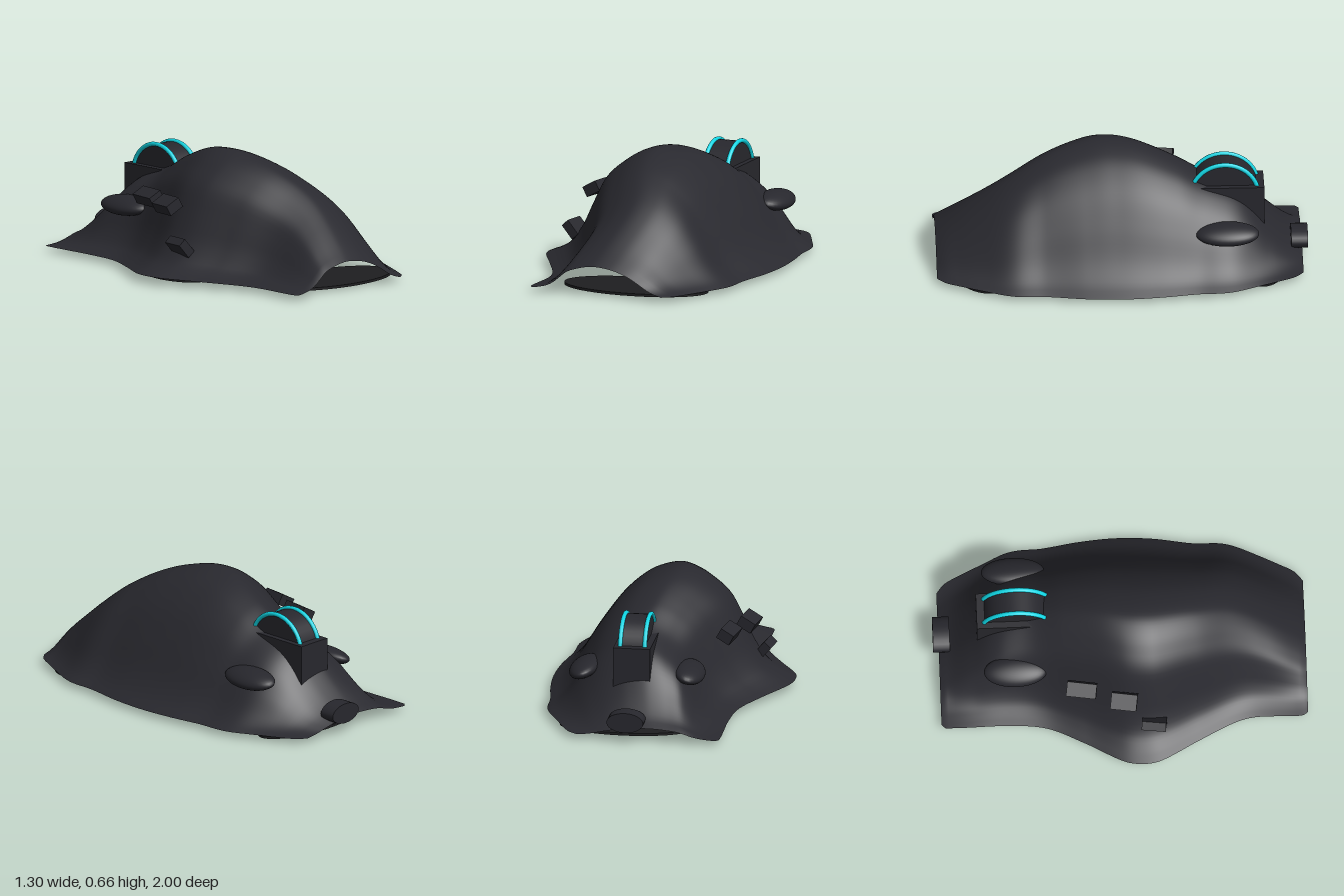
import * as THREE from 'three';

const mat = (name, color, side = THREE.FrontSide) => {
  const m = new THREE.MeshStandardMaterial({ color, side });
  m.name = name;
  return m;
};

// Smooth interpolation through [position, value] pairs sorted by position
function along(table, t) {
  const n = table.length;
  let i = 0;
  while (i < n - 2 && t > table[i + 1][0]) i++;
  const slope = (k) => {
    const a = table[Math.max(k - 1, 0)], b = table[Math.min(k + 1, n - 1)];
    return (b[1] - a[1]) / (b[0] - a[0]);
  };
  const [t0, v0] = table[i], [t1, v1] = table[i + 1];
  const h = t1 - t0, s = THREE.MathUtils.clamp((t - t0) / h, 0, 1);
  const s2 = s * s, s3 = s2 * s;
  return v0 * (2 * s3 - 3 * s2 + 1) + v1 * (3 * s2 - 2 * s3)
    + h * (slope(i) * (s3 - 2 * s2 + s) + slope(i + 1) * (s3 - s2));
}

// Shell outline, ridge height along z, and bell-shaped cross-section
const LEFT_EDGE = [[-0.97, -0.38], [-0.95, -0.4], [-0.6, -0.4], [-0.4, -0.425], [-0.2, -0.52], [0, -0.63],
  [0.1, -0.65], [0.2, -0.635], [0.4, -0.53], [0.6, -0.43], [0.72, -0.4], [0.97, -0.4], [1, -0.38]];
const RIGHT_EDGE = [[-0.97, 0.37], [-0.93, 0.42], [-0.85, 0.465], [-0.72, 0.527], [-0.6, 0.583], [-0.52, 0.6],
  [-0.4, 0.605], [-0.2, 0.635], [0, 0.65], [0.2, 0.64], [0.42, 0.605], [0.56, 0.6], [0.64, 0.58], [0.76, 0.525],
  [0.88, 0.465], [0.96, 0.42], [1, 0.37]];
const RIDGE = [[-0.97, 0.08], [-0.9, 0.13], [-0.8, 0.24], [-0.7, 0.36], [-0.62, 0.42], [-0.45, 0.485], [-0.3, 0.563],
  [-0.1, 0.635], [0.06, 0.655], [0.2, 0.641], [0.4, 0.58], [0.6, 0.473], [0.8, 0.33], [1, 0.168]];
const BELL = [[0, 0], [0.06, 0.055], [0.115, 0.135], [0.17, 0.3], [0.21, 0.48], [0.27, 0.73], [0.35, 0.885],
  [0.42, 0.97], [0.485, 1], [0.58, 0.95], [0.65, 0.865], [0.73, 0.71], [0.81, 0.48], [0.885, 0.23], [0.94, 0.095], [1, 0]];

function shellGeometry() {
  const geo = new THREE.PlaneGeometry(1, 1, 64, 100).rotateX(-Math.PI / 2);
  const p = geo.attributes.position;
  for (let i = 0; i < p.count; i++) {
    const u = p.getX(i) + 0.5;
    const z = -0.97 + 1.97 * (p.getZ(i) + 0.5);
    const xl = along(LEFT_EDGE, z), xr = along(RIGHT_EDGE, z);
    // the left rim lifts a little where it flares widest
    const leftRim = 0.03 + 0.06 * (-xl - 0.4);
    const rim = THREE.MathUtils.lerp(leftRim, 0.03, u);
    p.setXYZ(i, THREE.MathUtils.lerp(xl, xr, u), rim + (along(RIDGE, z) - rim) * along(BELL, u), z);
  }
  geo.computeVertexNormals();
  return geo;
}

export function createModel() {
  const model = new THREE.Group();
  const shellMat = mat('charcoal shell', 0x29292f, THREE.DoubleSide);
  const partMat = mat('dark plastic', 0x27272d);
  const padMat = mat('black pad', 0x1e1e20);
  const glowMat = mat('cyan ring', 0x0fd6e4);

  const add = (name, geo, material, pos = [0, 0, 0], rot = [0, 0, 0], scale = [1, 1, 1]) => {
    const mesh = new THREE.Mesh(geo, material);
    mesh.name = name;
    mesh.position.set(...pos);
    mesh.rotation.set(...rot);
    mesh.scale.set(...scale);
    model.add(mesh);
  };

  add('shell', shellGeometry(), shellMat);

  // Scroll wheel in its housing, with a glowing ring on each rim
  add('wheelHousing', new THREE.BoxGeometry(0.2, 0.245, 0.515), partMat, [0.105, 0.3375, -0.5075]);
  add('scrollWheel', new THREE.CylinderGeometry(0.18, 0.18, 0.135, 40), partMat,
    [0.107, 0.402, -0.552], [0, 0, Math.PI / 2]);
  for (const x of [0.04, 0.174]) {
    add('wheelRing', new THREE.TorusGeometry(0.182, 0.012, 10, 56), glowMat,
      [x, 0.402, -0.552], [0, Math.PI / 2, 0]);
  }

  // Click buttons either side of the wheel
  const button = new THREE.SphereGeometry(1, 32, 20);
  add('rightButton', button, partMat, [0.39, 0.28, -0.56], [0, 0, -0.3], [0.085, 0.046, 0.17]);
  add('leftButton', button, partMat, [-0.18, 0.28, -0.565], [0, 0, 0.3], [0.085, 0.046, 0.17]);

  // Thumb buttons down the left flank
  const thumbs = [
    [[-0.34, 0.395, -0.215], 0.5, -0.15, [0.08, 0.06, 0.16]],
    [[-0.415, 0.392, 0.01], 0.5, -0.15, [0.09, 0.06, 0.14]],
    [[-0.475, 0.193, 0.17], -0.85, -0.12, [0.095, 0.05, 0.13]],
  ];
  for (const [pos, roll, yaw, size] of thumbs) {
    add('thumbButton', new THREE.BoxGeometry(...size), partMat, pos, [0, yaw, roll]);
  }

  // Cable socket at the back
  add('cableSocket', new THREE.CylinderGeometry(0.1, 0.1, 0.09, 24), partMat,
    [0.105, 0.115, -0.955], [Math.PI / 2, 0, 0], [1, 1, 0.55]);

  // Glide pads and sensor ring underneath
  const pad = new THREE.CylinderGeometry(1, 1, 0.014, 48);
  add('frontPad', pad, padMat, [0.11, 0.019, 0.72], [0, 0, 0], [0.41, 1, 0.22]);
  add('backPad', pad, padMat, [0.14, 0.019, -0.75], [0, 0, 0], [0.355, 1, 0.15]);
  add('sidePad', pad, padMat, [-0.43, 0.019, 0.1], [0, 0, 0], [0.112, 1, 0.2]);
  add('sensorRing', new THREE.TorusGeometry(0.09, 0.016, 12, 40), partMat,
    [0.107, 0.016, -0.047], [Math.PI / 2, 0, 0]);

  return model;
}
